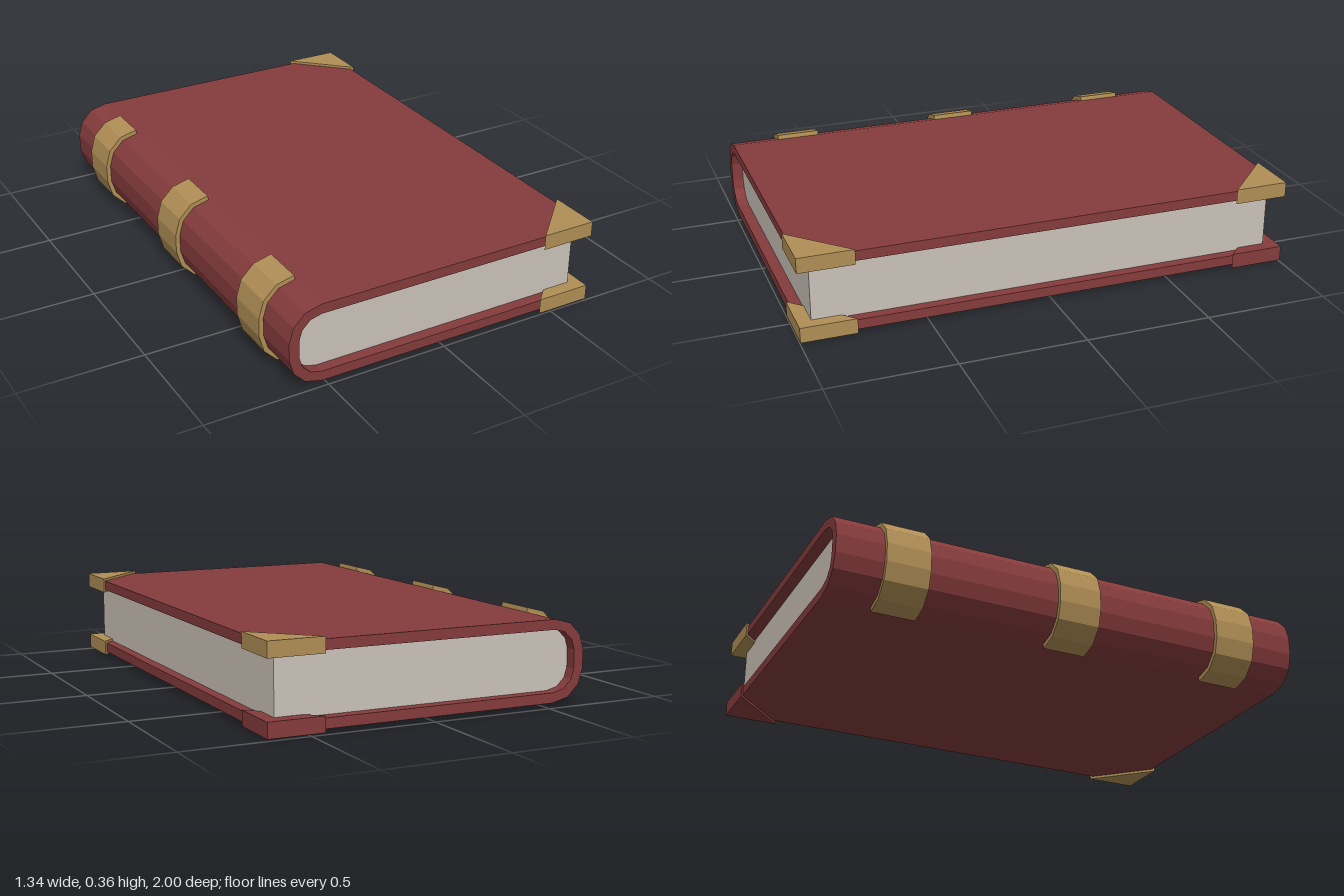
import * as THREE from 'three';

const MID = 0.18; // height of the book's middle plane

function material(name, color) {
  const m = new THREE.MeshStandardMaterial({ color });
  m.name = name;
  return m;
}

// Upper half of an arc around the spine, mirrored to the lower half
function mirrored(points) {
  const lower = points.slice().reverse().map(([x, y]) => [x, -y]);
  return [...points, ...lower];
}

// Outline in x/y (relative to the middle plane) extruded along z
function slab(name, points, z0, z1, mat) {
  const shape = new THREE.Shape(points.map(([x, y]) => new THREE.Vector2(x, y)));
  const geo = new THREE.ExtrudeGeometry(shape, { depth: z1 - z0, bevelEnabled: false });
  geo.translate(0, MID, z0);
  const mesh = new THREE.Mesh(geo, mat);
  mesh.name = name;
  return mesh;
}

export function createModel() {
  const book = new THREE.Group();
  book.name = 'book';
  const leather = material('red leather', 0x853b3c);
  const brass = material('brass', 0xb08e55);
  const paper = material('paper', 0xcbc3b9);

  // Half profiles of the rounded spine, from the top towards the middle
  const inner = [[-0.523, 0.121], [-0.569, 0.109], [-0.602, 0.077], [-0.614, 0.037]];
  const outer = [[-0.523, 0.161], [-0.591, 0.143], [-0.637, 0.096], [-0.655, 0.037]];
  const band = [[-0.527, 0.179], [-0.6, 0.16], [-0.653, 0.107], [-0.673, 0.037]];

  // Page block
  book.add(slab('pages', mirrored([[0.62, 0.12], ...inner]), -0.945, 0.945, paper));

  // One wrap-around cover: two boards joined by the spine
  const coverOut = mirrored([[0.66, 0.161], ...outer]);
  const coverIn = mirrored([[0.66, 0.121], ...inner]).reverse();
  book.add(slab('cover', [...coverOut, ...coverIn], -0.99, 0.99, leather));

  // Three bands around the spine
  for (const z of [-0.712, 0, 0.708]) {
    const points = [...mirrored(band), ...mirrored(outer).reverse()];
    book.add(slab('spineBand', points, z - 0.088, z + 0.088, brass));
  }

  // Triangular corner caps; the lower back one is leather
  for (const top of [true, false]) {
    for (const side of [1, -1]) {
      const shape = new THREE.Shape();
      shape.moveTo(0.67, side);
      shape.lineTo(0.445, side);
      shape.lineTo(0.67, side * 0.78);
      const geo = new THREE.ExtrudeGeometry(shape, { depth: 0.061, bevelEnabled: false });
      geo.rotateX(Math.PI / 2); // shape y becomes z, depth goes down
      geo.translate(0, top ? 0.352 : 0.069, 0);
      const cap = new THREE.Mesh(geo, !top && side < 0 ? leather : brass);
      cap.name = 'cornerCap';
      book.add(cap);
    }
  }
  return book;
}
